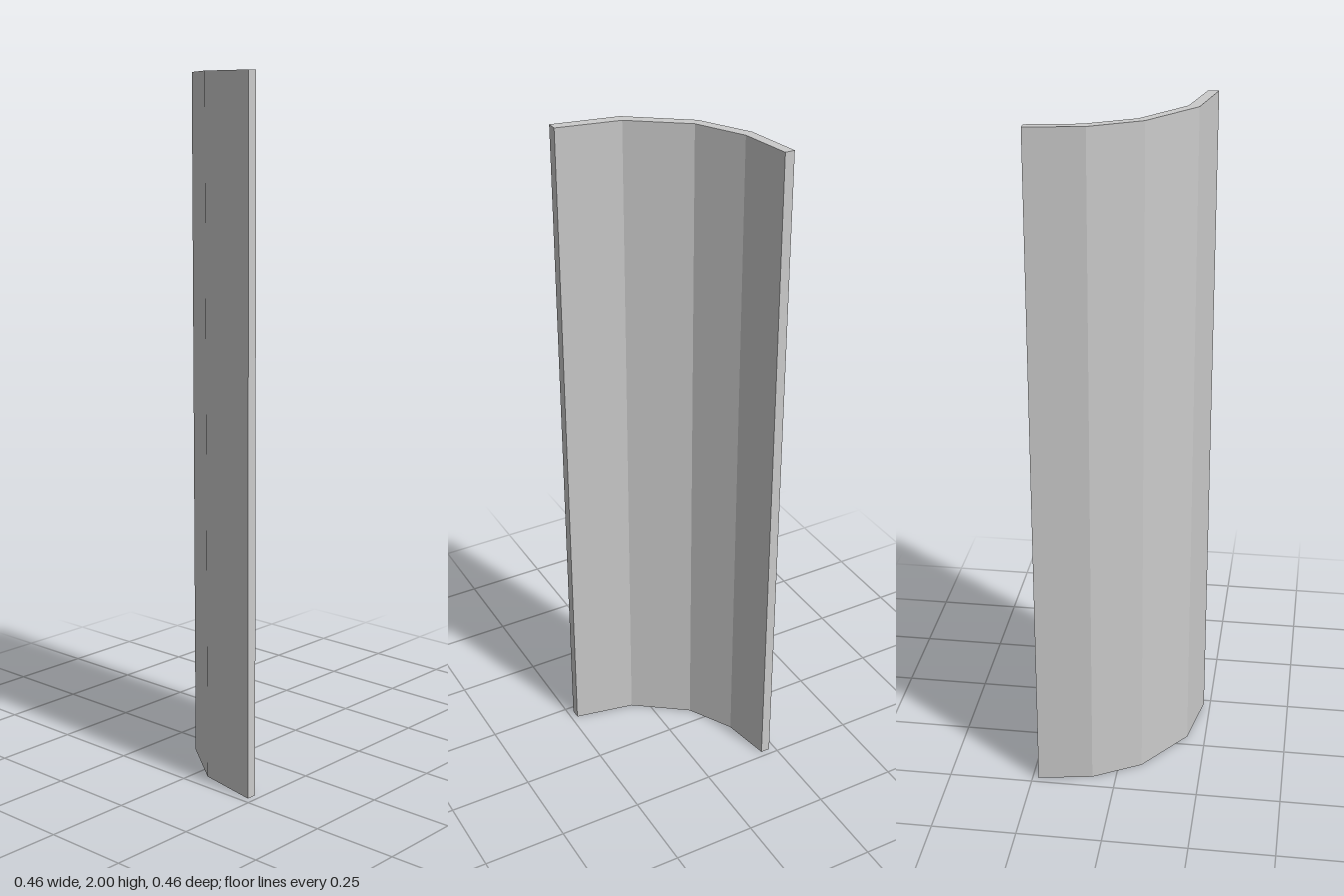
import * as THREE from 'three';

export function createModel() {
  const group = new THREE.Group();
  group.name = 'curvedPanel';

  // Plan outline of the faceted wall as [x, z]: outer face, then back along the inner face
  const outer = [[-0.231, -0.232], [-0.204, -0.071], [-0.124, 0.07], [0.042, 0.194], [0.231, 0.23]];
  const inner = [[0.231, 0.2], [0.051, 0.164], [-0.103, 0.05], [-0.177, -0.084], [-0.203, -0.232]];
  const shape = new THREE.Shape([...outer, ...inner].map(([x, z]) => new THREE.Vector2(x, -z)));

  // Extrude the outline and stand it upright
  const geometry = new THREE.ExtrudeGeometry(shape, { depth: 2, bevelEnabled: false });
  geometry.rotateX(-Math.PI / 2);

  const panel = new THREE.Mesh(
    geometry,
    new THREE.MeshStandardMaterial({ color: 0xcccccc, flatShading: true })
  );
  panel.name = 'panelWall';
  group.add(panel);
  return group;
}
